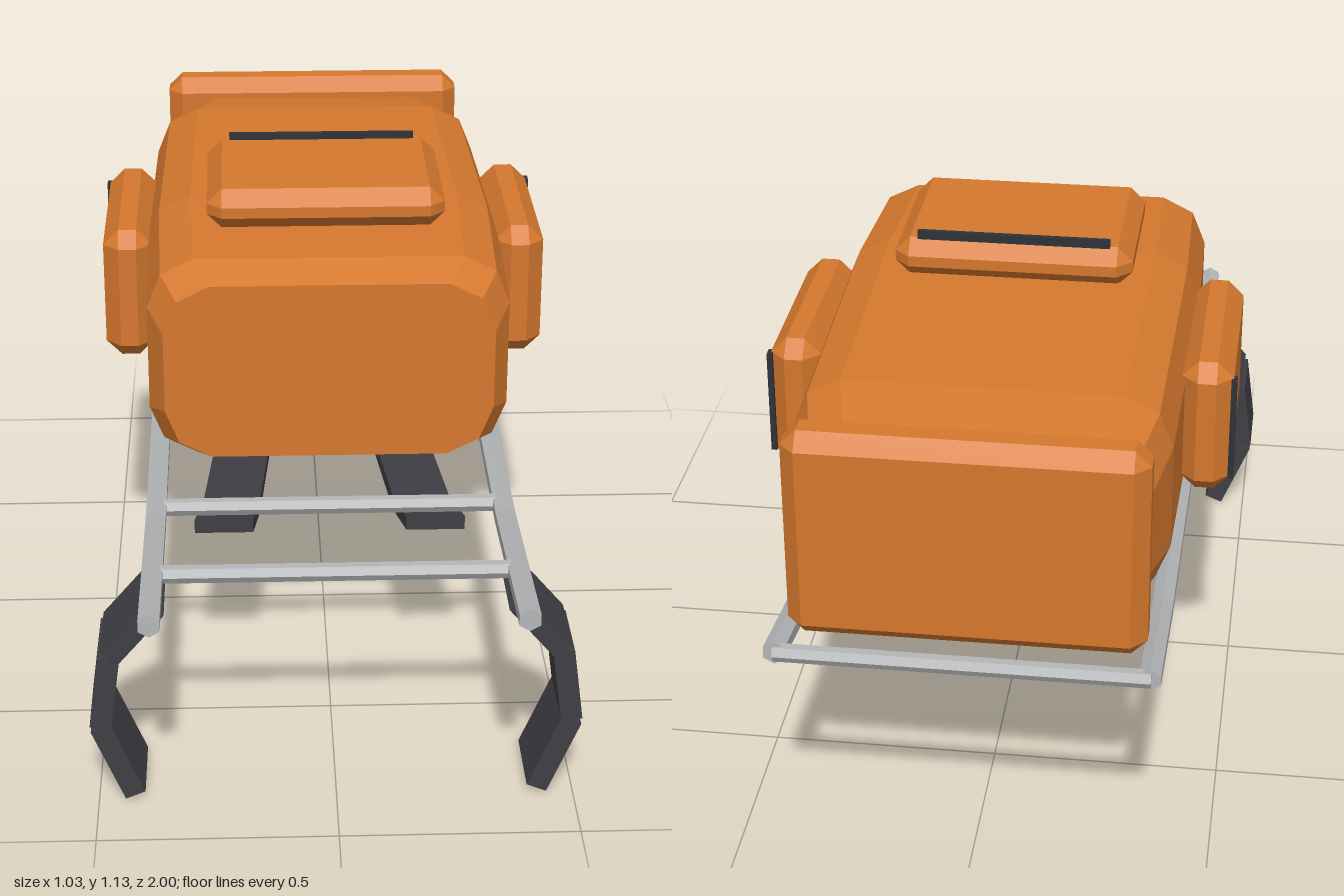
import * as THREE from 'three';
import { ConvexGeometry } from 'three/addons/geometries/ConvexGeometry.js';

const material = (name, color) => {
  const m = new THREE.MeshStandardMaterial({ color });
  m.name = name;
  return m;
};

// Joins cross-sections running from front to back (each counter-clockwise seen from +z), with end caps
function loft(rings) {
  const pos = [];
  const tri = (...pts) => pts.forEach((p) => pos.push(...p));
  const n = rings[0].length;
  for (let i = 0; i < rings.length - 1; i++) {
    for (let j = 0; j < n; j++) {
      const k = (j + 1) % n;
      const [a, b, c, d] = [rings[i][j], rings[i][k], rings[i + 1][k], rings[i + 1][j]];
      tri(a, d, c);
      tri(a, c, b);
    }
  }
  const first = rings[0], last = rings[rings.length - 1];
  for (let j = 1; j < n - 1; j++) {
    tri(first[0], first[j], first[j + 1]);
    tri(last[0], last[j + 1], last[j]);
  }
  const geo = new THREE.BufferGeometry();
  geo.setAttribute('position', new THREE.Float32BufferAttribute(pos, 3));
  geo.computeVertexNormals();
  return geo;
}

// Box with every edge and corner chamfered
function chamferBox(w, h, d, c) {
  const pts = [];
  for (const x of [-1, 1]) for (const y of [-1, 1]) for (const z of [-1, 1]) {
    for (let axis = 0; axis < 3; axis++) {
      const cut = [c, c, c];
      cut[axis] = 0;
      pts.push(new THREE.Vector3(x * (w / 2 - cut[0]), y * (h / 2 - cut[1]), z * (d / 2 - cut[2])));
    }
  }
  return new ConvexGeometry(pts);
}

// Twelve-sided section of the pack: a rectangle with two-step corners
function packRing([z, hw, y0, y1]) {
  const cy = (y0 + y1) / 2, hh = (y1 - y0) / 2;
  const corner = [[hw, hh - 0.11], [hw - 0.03, hh - 0.035], [hw - 0.1, hh]];
  const flip = [...corner].reverse();
  return [
    ...corner,
    ...flip.map(([x, y]) => [-x, y]),
    ...corner.map(([x, y]) => [-x, -y]),
    ...flip.map(([x, y]) => [x, -y]),
  ].map(([x, y]) => [x, y + cy, z]);
}

export function createModel() {
  const model = new THREE.Group();
  model.name = 'framePack';
  const fabric = material('orange fabric', 0xd5782e);
  const metal = material('grey metal', 0xb4b6b8);
  const padding = material('dark padding', 0x3f3e44);
  const webbing = material('black webbing', 0x2e3137);

  const add = (name, geo, mat, x = 0, y = 0, z = 0) => {
    const mesh = new THREE.Mesh(geo, mat);
    mesh.name = name;
    mesh.position.set(x, y, z);
    model.add(mesh);
    return mesh;
  };

  // Main bag: [z, half width, bottom, top]
  add('mainBag', loft([
    [0.41, 0.355, 0.585, 0.985],
    [0.34, 0.39, 0.565, 1.02],
    [0.0, 0.4, 0.545, 1.035],
    [-0.65, 0.39, 0.565, 1.02],
    [-0.84, 0.35, 0.595, 0.985],
  ].map(packRing)), fabric);

  // Lid and top pocket
  add('lid', chamferBox(0.73, 0.465, 0.11, 0.033), fabric, 0, 0.803, -0.875);
  add('topPocket', chamferBox(0.52, 0.09, 0.39, 0.033), fabric, 0, 1.07, 0.01);
  add('topPocketStrap', new THREE.BoxGeometry(0.42, 0.02, 0.012), webbing, 0, 1.12, -0.15);

  // Frame: two bent rails joined by crossbars
  const railPath = [[1.0, 0.508], [0.5, 0.472], [0.0, 0.482], [-0.65, 0.52], [-0.985, 0.57]];
  const railY = (z) => {
    const i = Math.max(1, railPath.findIndex((p) => p[0] <= z));
    const [[z0, y0], [z1, y1]] = [railPath[i - 1], railPath[i]];
    return y0 + ((y1 - y0) * (z - z0)) / (z1 - z0);
  };
  for (const z of [0.76, 0.43, -0.47, -0.98]) {
    const bar = add('crossbar', new THREE.CylinderGeometry(0.019, 0.019, 0.76, 6).toNonIndexed(), metal, 0, railY(z), z);
    bar.geometry.computeVertexNormals();
    bar.rotation.z = Math.PI / 2;
  }

  for (const s of [1, -1]) {
    const side = s > 0 ? 'left' : 'right';

    add(side + 'Rail', loft(railPath.map(([z, y]) =>
      Array.from({ length: 6 }, (_, i) => {
        const a = Math.PI / 6 + (i * Math.PI) / 3;
        return [s * 0.378 + Math.cos(a) * 0.025, y + Math.sin(a) * 0.025, z];
      }))), metal);

    // Side pocket with its strap
    add(side + 'Pocket', chamferBox(0.11, 0.305, 0.47, 0.035), fabric, s * 0.442, 0.8125, -0.175);
    add(side + 'PocketStrap', new THREE.BoxGeometry(0.012, 0.235, 0.025), webbing, s * 0.498, 0.8125, -0.377);

    // Shoulder strap: [z, centre x, centre y]
    add(side + 'ShoulderStrap', loft([
      [0.44, 0.232, 0.43],
      [0.23, 0.215, 0.371],
      [-0.08, 0.19, 0.359],
      [-0.37, 0.15, 0.41],
      [-0.48, 0.135, 0.487],
    ].map(([z, x, y]) => [[1, 1], [-1, 1], [-1, -1], [1, -1]].map(
      ([u, v]) => [s * x + u * 0.064, y + v * 0.016, z]))), padding);

    // Hip belt wing: three flat pads in a curve
    const wing = [[0.37, 0.46], [0.47, 0.342], [0.492, 0.177], [0.423, 0.01]];
    for (let i = 0; i < 3; i++) {
      const [[x0, y0], [x1, y1]] = [wing[i], wing[i + 1]];
      const pad = add(side + 'HipBeltPad',
        new THREE.BoxGeometry(0.045, Math.hypot(x1 - x0, y1 - y0) - 0.002, 0.17), padding,
        (s * (x0 + x1)) / 2, (y0 + y1) / 2, 0.765);
      pad.rotation.z = Math.atan2(s * (x1 - x0), y0 - y1);
    }
  }
  return model;
}
